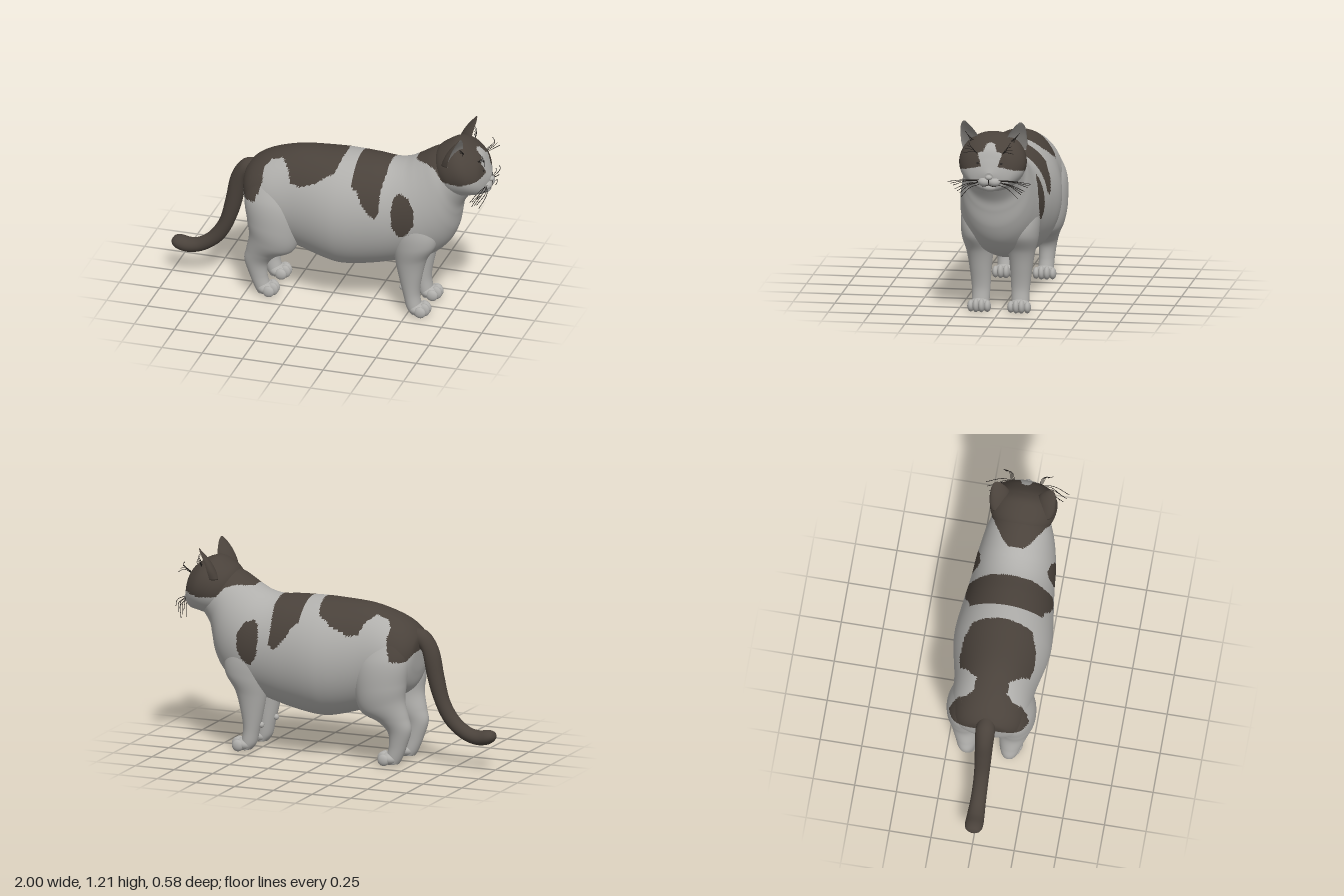
import * as THREE from 'three';

const material = (name, color, extra = {}) => {
  const m = new THREE.MeshStandardMaterial({ color, ...extra });
  m.name = name;
  return m;
};

// Patch outlines: side outlines in (x, y), blaze outline in (|z|, y)
const SADDLE = [[-.62, .72], [-.53, .7], [-.5, .65], [-.42, .65], [-.4, .7], [-.38, .77], [-.385, .84], [-.35, .88],
  [-.28, .9], [-.23, .86], [-.2, .79], [-.14, .78], [-.1, .8], [-.04, .82], [.01, .855], [.06, .88], [.09, .96], [.09, 1.2], [-.62, 1.2]];
const BAND = [[.18, 1.2], [.18, .83], [.22, .8], [.25, .74], [.3, .68], [.335, .66], [.36, .7], [.355, .8], [.37, .9], [.37, 1.2]];
const SPOT = [[.44, .79], [.47, .82], [.53, .8], [.57, .73], [.57, .64], [.53, .57], [.48, .55], [.44, .61], [.43, .7]];
const CAP = [[.53, .99], [.62, 1], [.68, .985], [.73, .925], [.85, .92], [1.1, .92], [1.1, 1.4], [.53, 1.4]];
const BLAZE = [[-.01, 1.1], [.025, 1.09], [.04, 1.05], [.075, 1.04], [.06, 1], [.05, .965], [.11, .95], [.2, .925], [.3, .9], [.3, .6], [-.01, .6]];

function inside(poly, x, y) {
  let hit = false;
  for (let i = 0, j = poly.length - 1; i < poly.length; j = i++) {
    const [ax, ay] = poly[i], [bx, by] = poly[j];
    if ((ay > y) !== (by > y) && x < (bx - ax) * (y - ay) / (by - ay) + ax) hit = !hit;
  }
  return hit;
}

function coatPattern(x, y, z) {
  if (inside(SADDLE, x, y) || inside(BAND, x, y) || inside(SPOT, x, y)) return 1;
  return inside(CAP, x, y) && !(x > .86 && inside(BLAZE, Math.abs(z), y)) ? 1 : 0;
}

// Smooth value through a row of numbers, at 0..1
function spline(values, t) {
  const p = t * (values.length - 1), i = Math.min(Math.floor(p), values.length - 2), f = p - i;
  const at = k => values[Math.max(0, Math.min(values.length - 1, k))];
  const a = at(i - 1), b = at(i), c = at(i + 1), d = at(i + 2);
  return b + .5 * f * (c - a + f * (2 * a - 5 * b + 4 * c - d + f * (3 * (b - c) + d - a)));
}

// Skin over rings; each section is [ax, ay, bx, by, halfWidth, zCentre], a and b being opposite edge points
function loft(sections, rows, cols, { side = 1, dent = 1, skew = 0, paint = () => 0 } = {}) {
  const pos = [], groups = [[], []];
  const columns = [0, 1, 2, 3, 4, 5].map(k => sections.map(s => s[k] || 0));
  for (let i = -1; i <= rows + 1; i++) {
    const t = Math.max(0, Math.min(rows, i)) / rows;
    const [ax, ay, bx, by, w, zc] = columns.map(c => spline(c, t));
    const open = i < 0 || i > rows ? 0 : 1;
    for (let j = 0; j < cols; j++) {
      const a = j / cols * Math.PI * 2, z = w * Math.sin(a) * open;
      const c = Math.cos(a) * (Math.cos(a) < 0 ? dent : 1) * open;
      pos.push((ax + bx) / 2 + c * (ax - bx) / 2 - skew * side * z, (ay + by) / 2 + c * (ay - by) / 2, side * zc + z);
    }
  }
  const addFace = (j, ...v) => {
    const mid = k => (pos[v[0] * 3 + k] + pos[v[1] * 3 + k] + pos[v[2] * 3 + k]) / 3;
    groups[paint(mid(0), mid(1), mid(2), (j + .5) / cols)].push(...v);
  };
  for (let i = 0; i < rows + 2; i++) for (let j = 0; j < cols; j++) {
    const a = i * cols + j, b = i * cols + (j + 1) % cols;
    if (i > 0) addFace(j, a, b, a + cols);
    if (i < rows + 1) addFace(j, b, b + cols, a + cols);
  }
  const g = new THREE.BufferGeometry();
  g.setAttribute('position', new THREE.Float32BufferAttribute(pos, 3));
  g.setIndex([...groups[0], ...groups[1]]);
  g.addGroup(0, groups[0].length, 0);
  g.addGroup(groups[0].length, groups[1].length, 1);
  g.computeVertexNormals();
  return g;
}

export function createModel() {
  const cat = new THREE.Group();
  cat.name = 'cat';
  const coat = material('light coat', 0xb0afac);
  const dark = material('dark patches', 0x4a423b);
  const earInner = material('inner ear', 0x8f8c88);
  const eyeMat = material('eyes', 0x2c2825);
  const hair = material('whiskers', 0x1f1c1a);

  const add = (name, geometry, mat) => {
    const m = new THREE.Mesh(geometry, mat);
    m.name = name;
    cat.add(m);
    return m;
  };
  const ball = (name, mat, p, r) => {
    const m = add(name, new THREE.SphereGeometry(1, 24, 16), mat);
    m.position.set(...p);
    m.scale.set(...r);
    return m;
  };
  const strand = (name, r, ...pts) => add(name, new THREE.TubeGeometry(
    new THREE.CatmullRomCurve3(pts.map(p => new THREE.Vector3(...p))), 10, r, 5), hair);
  const painted = [coat, dark];

  // Torso, chest and neck
  add('body', loft([
    [-.53, .74, -.525, .66, .06], [-.52, .79, -.51, .55, .14], [-.46, .85, -.47, .45, .2], [-.36, .9, -.36, .38, .232],
    [-.2, .943, -.2, .31, .245], [0, .955, 0, .25, .284], [.12, .957, .12, .24, .29], [.27, .953, .3, .27, .27],
    [.38, .945, .48, .32, .25], [.46, .96, .62, .365, .24], [.52, .99, .72, .45, .225], [.57, 1.02, .775, .55, .21],
    [.62, 1.05, .795, .65, .195], [.67, 1.07, .81, .72, .18], [.73, 1.08, .86, .8, .165],
  ], 180, 128, { paint: coatPattern }), painted);

  // Head
  add('head', loft([
    [.62, .98, .7, .86, .08], [.655, 1.065, .74, .8, .15], [.7, 1.105, .79, .79, .186], [.77, 1.14, .84, .79, .2],
    [.83, 1.132, .885, .8, .196], [.885, 1.1, .92, .806, .172], [.93, 1.06, .945, .812, .138],
    [.955, 1.005, .958, .82, .1], [.973, .955, .965, .835, .062], [.982, .93, .972, .85, .03],
  ], 110, 112, { paint: coatPattern }), painted);

  // Tail
  add('tail', loft([
    [-.48, .7, -.47, .82, .05], [-.535, .68, -.56, .8, .058], [-.56, .55, -.63, .7, .054], [-.59, .44, -.665, .54, .05],
    [-.64, .32, -.7, .4, .046], [-.7, .235, -.76, .3, .045], [-.79, .17, -.83, .245, .047], [-.88, .143, -.89, .23, .052],
    [-.95, .15, -.95, .238, .054], [-.985, .17, -.985, .23, .042], [-1, .19, -1, .208, .016],
  ], 80, 32), dark);

  // Muzzle, nose and chin
  ball('nose', coat, [.983, .903, 0], [.017, .015, .021]);
  ball('chin', coat, [.945, .837, 0], [.034, .026, .045]);
  strand('mouthCentre', .002, [.99, .893, 0], [.986, .875, 0], [.984, .86, 0]);

  for (const side of [1, -1]) {
    const word = side > 0 ? 'left' : 'right';
    // Legs
    add(word + 'HindLeg', loft([
      [-.25, .8, -.44, .8, .05, .13], [-.17, .62, -.5, .66, .105, .15], [-.165, .45, -.485, .5, .115, .15],
      [-.2, .32, -.475, .4, .1, .145], [-.31, .26, -.495, .3, .073, .135], [-.365, .2, -.51, .22, .055, .13],
      [-.37, .12, -.48, .12, .047, .125], [-.35, .04, -.45, .045, .046, .122], [-.36, .01, -.43, .01, .04, .122],
    ], 90, 64, { side, paint: coatPattern }), painted);
    add(word + 'FrontLeg', loft([
      [.6, .8, .42, .75, .05, .13], [.67, .6, .4, .6, .09, .14], [.68, .48, .415, .45, .095, .135],
      [.62, .37, .43, .33, .078, .125], [.588, .25, .452, .22, .064, .121], [.572, .14, .475, .12, .055, .118],
      [.585, .05, .492, .05, .052, .119], [.58, .01, .52, .01, .045, .119],
    ], 70, 64, { side, paint: coatPattern }), painted);
    ball(word + 'WristPad', coat, [.462, .16, side * .11], [.016, .018, .018]);

    // Paws with four toes each
    for (const [name, x, z] of [['FrontPaw', .565, .12], ['HindPaw', -.375, .122]]) {
      ball(word + name, coat, [x, .04, side * z], [.06, .04, .062]);
      for (let k = 0; k < 4; k++) {
        const o = (k - 1.5) * .033, middle = k === 1 || k === 2;
        ball(word + name + 'Toe', coat, [x + (middle ? .04 : .025), middle ? .04 : .035, side * z + o],
          [.036, middle ? .04 : .035, .021]);
      }
    }

    // Cupped ears
    add(word + 'Ear', loft([
      [.725, 1.03, .85, 1.03, .06, .13], [.745, 1.08, .855, 1.08, .061, .138], [.772, 1.13, .855, 1.13, .052, .146],
      [.802, 1.17, .852, 1.17, .037, .158], [.826, 1.198, .848, 1.198, .02, .166], [.837, 1.212, .843, 1.212, .006, .169],
    ], 24, 48, { side, dent: -.35, skew: .4, paint: (x, y, z, t) => Math.abs(t - .5) < .24 ? 1 : 0 }), [dark, earInner]);
    for (let k = 0; k < 4; k++) strand(word + 'EarHair', .0016,
      [.84, 1.08, side * (.095 + k * .01)], [.845, 1.1 + k * .008, side * (.115 + k * .01)], [.83, 1.11 + k * .012, side * (.14 + k * .008)]);

    // Eyes
    const eye = ball(word + 'Eye', eyeMat, [.936, .976, side * .078], [.016, .023, .036]);
    eye.rotation.set(side * -.15, side * -.5, 0);

    // Cheek of the muzzle and mouth line
    ball(word + 'Muzzle', coat, [.952, .873, side * .029], [.042, .031, .042]);
    strand(word + 'Mouth', .002, [.986, .86, 0], [.982, .85, side * .02], [.972, .848, side * .04], [.952, .856, side * .062]);

    // Whiskers and brow hairs
    for (let k = 0; k < 7; k++) {
      const f = k / 6, z = .25 - .08 * f;
      strand(word + 'Whisker', .0018, [.972 - .01 * (k % 2), .885 - .025 * f, side * .05],
        [.985 - .02 * (k % 3), .885 - .045 * f, side * (.05 + z) / 2], [.955 - .02 * (k % 3), .865 - .09 * f, side * z]);
    }
    for (let k = 0; k < 4; k++) strand(word + 'BrowHair', .0016, [.925, 1.03 + .006 * k, side * (.075 + .006 * k)],
      [.965, 1.055 + .012 * k, side * (.09 + .008 * k)], [.985 - .012 * k, 1.05 + .02 * k, side * (.15 - .008 * k)]);
  }
  return cat;
}
